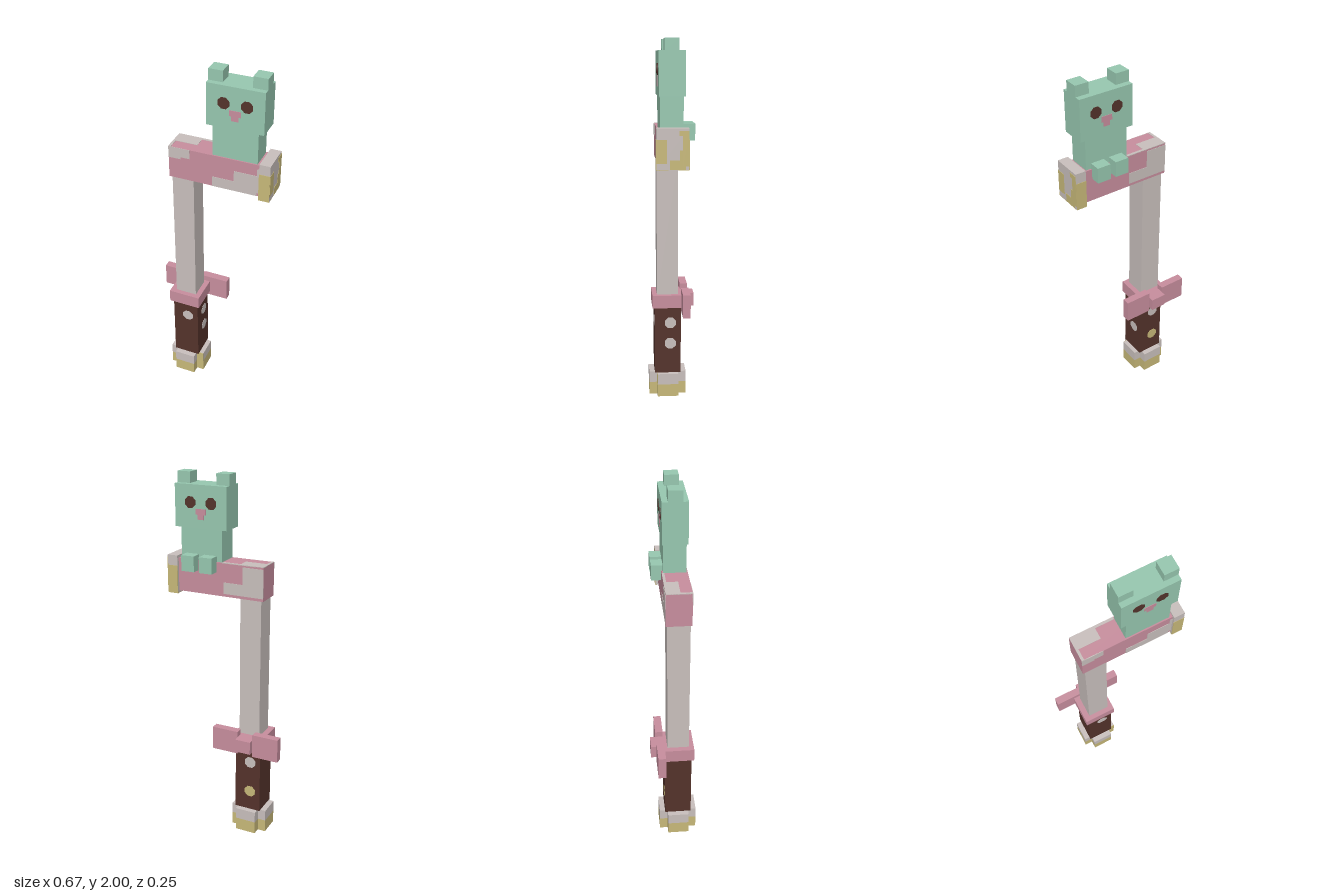
import * as THREE from 'three';

const mat = (name, color) => {
  const m = new THREE.MeshStandardMaterial({ color });
  m.name = name;
  return m;
};

export function createModel() {
  const root = new THREE.Group();
  root.name = 'hammer';
  const mint = mat('mint', 0x98c9b1);
  const pink = mat('pink', 0xc98f9f);
  const cream = mat('cream', 0xcac1be);
  const gold = mat('gold', 0xc9ba7a);
  const brown = mat('brown', 0x55332b);
  const T = 0.002; // how far painted plates stand out

  const add = (name, geo, m, x, y, z) => {
    const mesh = new THREE.Mesh(geo, m);
    mesh.name = name;
    mesh.position.set(x, y, z);
    root.add(mesh);
    return mesh;
  };
  // Box given by its limits on each axis
  const box = (name, m, [x0, x1], [y0, y1], [z0, z1]) =>
    add(name, new THREE.BoxGeometry(x1 - x0, y1 - y0, z1 - z0), m,
      (x0 + x1) / 2, (y0 + y1) / 2, (z0 + z1) / 2);
  // Thin octagonal spot facing along x or z
  const spot = (name, m, axis, r, x, y, z) => {
    const geo = new THREE.CylinderGeometry(r, r, 2 * T, 8).rotateY(Math.PI / 8);
    if (axis === 'x') geo.rotateZ(Math.PI / 2);
    else geo.rotateX(Math.PI / 2);
    add(name, geo, m, x, y, z);
  };

  // Cross-shaped pommel, gold below and cream above
  const crossArms = [[[-0.247, -0.041], [-0.037, 0.082]], [[-0.202, -0.083], [-0.082, 0.127]]];
  for (const [x, z] of crossArms) {
    box('pommelBase', gold, x, [0, 0.072], z);
    box('pommelTop', cream, x, [0.072, 0.135], z);
  }
  box('pommelGoldPatch', gold, [-0.083, -0.041], [0.072, 0.135], [0.08, 0.082 + T]);

  // Grip with studs
  box('grip', brown, [-0.216, -0.067], [0.135, 0.525], [-0.052, 0.096]);
  spot('gripStud', cream, 'z', 0.034, -0.128, 0.434, 0.096);
  spot('gripStud', cream, 'x', 0.034, -0.067, 0.434, 0.008);
  spot('gripStud', cream, 'x', 0.034, -0.067, 0.312, 0.008);
  spot('gripStud', cream, 'z', 0.034, -0.156, 0.434, -0.052);
  spot('gripStud', gold, 'z', 0.034, -0.156, 0.25, -0.052);

  // Collar and bow
  box('collar', pink, [-0.234, -0.054], [0.525, 0.598], [-0.058, 0.109]);
  box('bowKnot', pink, [-0.187, -0.098], [0.525, 0.598], [-0.127, -0.055]);
  box('bowWing', pink, [-0.336, -0.187], [0.498, 0.63], [-0.097, -0.055]);
  box('bowWing', pink, [-0.098, 0.052], [0.498, 0.63], [-0.097, -0.055]);

  // Shaft
  box('shaft', cream, [-0.202, -0.083], [0.59, 1.376], [-0.037, 0.082]);

  // Crossbar with cream patches
  const [bx0, bx1, by0, by1, bz0, bz1] = [-0.216, 0.277, 1.374, 1.553, -0.045, 0.089];
  box('crossbar', pink, [bx0, bx1], [by0, by1], [bz0, bz1]);
  const frontPatches = [
    [bx0, -0.15, 1.49, by1], [-0.15, -0.1, 1.502, by1],
    [0.022, 0.14, by0, 1.43], [0.14, 0.262, by0, 1.49], [0.262, bx1, 1.392, 1.53],
  ];
  for (const [x0, x1, y0, y1] of frontPatches)
    box('crossbarFrontPatch', cream, [x0, x1], [y0, y1], [bz1 - T, bz1 + T]);
  const backPatches = [[bx0, -0.1, by0 + 0.015, by1 - 0.01], [-0.1, 0.01, by0 + 0.015, 1.45]];
  for (const [x0, x1, y0, y1] of backPatches)
    box('crossbarBackPatch', cream, [x0, x1], [y0, y1], [bz0 - T, bz0 + T]);
  const topPatches = [[bx0, -0.083, bz0, 0.029], [bx0, -0.202, 0.029, bz1], [-0.083, 0.02, bz0, -0.031]];
  for (const [x0, x1, z0, z1] of topPatches)
    box('crossbarTopPatch', cream, [x0, x1], [by1 - T, by1 + T], [z0, z1]);

  // End cap, gold front, back and underside
  const [cx0, cx1, cz0, cz1] = [0.276, 0.334, -0.06, 0.103];
  box('endCap', cream, [cx0, cx1], [1.362, 1.567], [cz0, cz1]);
  for (const z of [cz0, cz1])
    box('endCapGoldSide', gold, [cx0, cx1], [1.362, 1.512], [z - T, z + T]);
  box('endCapGoldBottom', gold, [cx0, cx1], [1.36, 1.364], [cz0, cz1]);
  const capPatches = [
    [0.052, cz1, 1.395, 1.512], [cz0, -0.028, 1.38, 1.555],
    [-0.043, 0.036, 1.364, 1.41], [-0.028, -0.012, 1.41, 1.46], [-0.028, -0.01, 1.53, 1.555],
  ];
  for (const [z0, z1, y0, y1] of capPatches)
    box('endCapGoldPatch', gold, [cx1 - T, cx1 + T], [y0, y1], [z0, z1]);

  // Toy animal: body, head, ears and feet
  box('body', mint, [0.022, 0.26], [1.553, 1.72], [-0.037, 0.082]);
  box('head', mint, [-0.008, 0.289], [1.72, 1.942], [-0.045, 0.088]);
  for (const side of [-1, 1]) {
    const ear = 0.1405 + side * 0.112;
    box('ear', mint, [ear - 0.037, ear + 0.037], [1.942, 2], [-0.014, 0.06]);
    const foot = 0.1415 + side * 0.052;
    box('foot', mint, [foot - 0.037, foot + 0.037], [1.499, 1.583], [-0.098, -0.037]);
  }

  // Face painted on both front and back
  for (const z of [-0.045, 0.088]) {
    for (const x of [0.081, 0.2]) spot('eye', brown, 'z', 0.032, x, 1.851, z);
    box('nose', pink, [0.11, 0.17], [1.79, 1.82], [z - T, z + T]);
    box('noseTip', pink, [0.122, 0.158], [1.765, 1.79], [z - T, z + T]);
  }
  return root;
}
